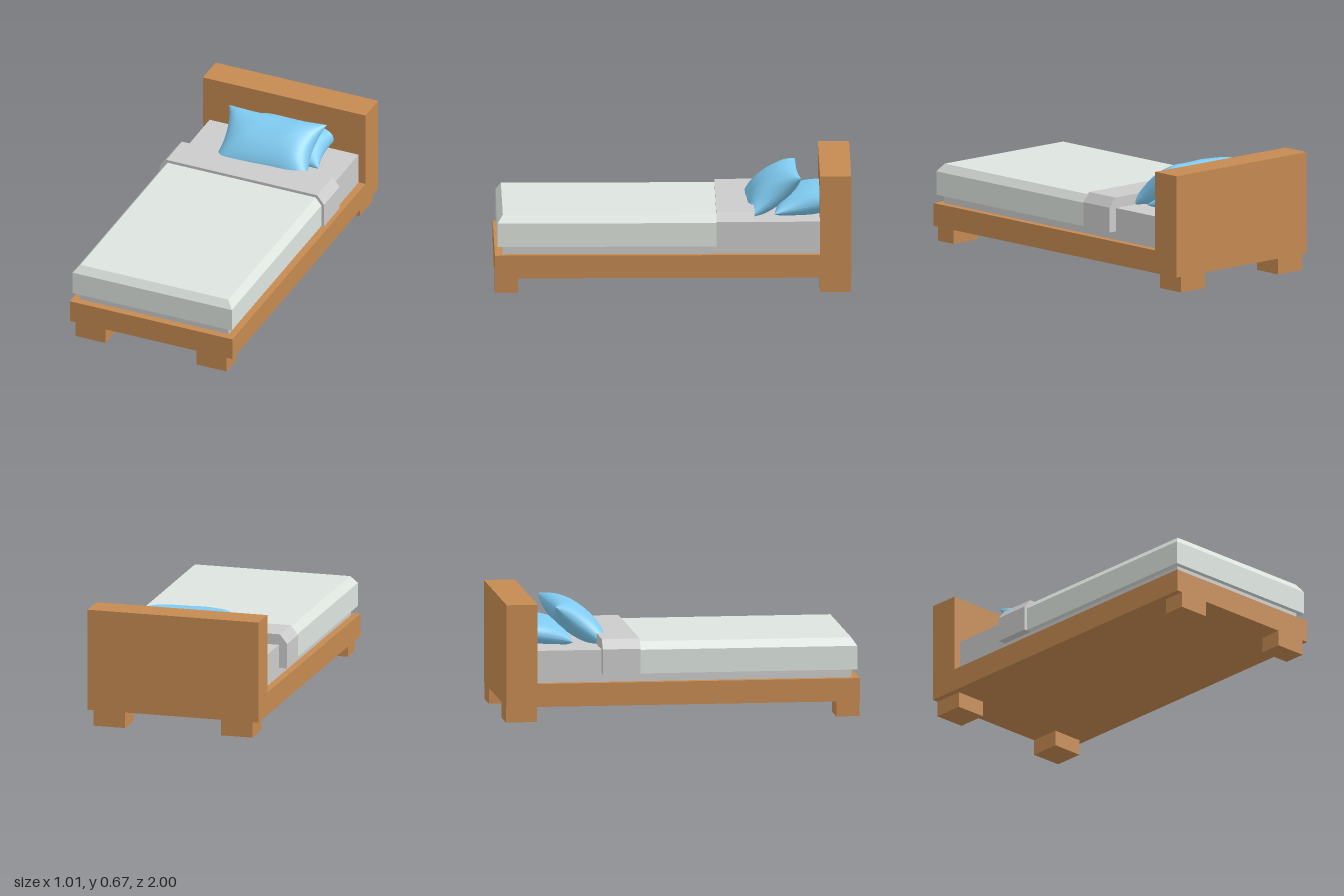
import * as THREE from 'three';

const material = (color, extra = {}) => new THREE.MeshStandardMaterial({ color, ...extra });

// Box given by its min and max along each axis
function block(name, mat, [x0, x1], [y0, y1], [z0, z1]) {
  const mesh = new THREE.Mesh(new THREE.BoxGeometry(x1 - x0, y1 - y0, z1 - z0), mat);
  mesh.position.set((x0 + x1) / 2, (y0 + y1) / 2, (z0 + z1) / 2);
  mesh.name = name;
  return mesh;
}

// Block whose upper edges are bevelled on both sides and, if wanted, at the front
function bevelledBlock(name, mat, halfWidth, [y0, yBevel, y1], [z0, z1], sideInset, frontInset) {
  const geo = new THREE.BoxGeometry(2, 2, 2, 1, 2, 1);
  const p = geo.attributes.position;
  for (let i = 0; i < p.count; i++) {
    const top = p.getY(i) > 0.5;
    const y = [y0, yBevel, y1][Math.round(p.getY(i)) + 1];
    const x = p.getX(i) * (halfWidth - (top ? sideInset : 0));
    const z = p.getZ(i) < 0 ? z0 : z1 - (top ? frontInset : 0);
    p.setXYZ(i, x, y, z);
  }
  const flat = geo.toNonIndexed();
  flat.computeVertexNormals();
  const mesh = new THREE.Mesh(flat, mat);
  mesh.name = name;
  return mesh;
}

// One half of a pillow: a puffed sheet with pinched sides and pointed corners
function pillowHalf(side, a, b, height) {
  const geo = new THREE.PlaneGeometry(2, 2, 40, 28);
  geo.rotateX(-side * Math.PI / 2);
  const p = geo.attributes.position;
  for (let i = 0; i < p.count; i++) {
    const u = Math.sin(p.getX(i) * Math.PI / 2);
    const v = Math.sin(p.getZ(i) * Math.PI / 2);
    const puff = Math.sqrt(Math.max(0, (1 - u ** 4) * (1 - v * v)));
    // soft creases that fade out toward the middle
    const crease = 1 + 0.06 * Math.sin(9 * u + 4 * v) * (u * u + v * v) / 2;
    p.setXYZ(i,
      a * u * (1 - 0.13 * (1 - v * v)),
      side * height * puff * crease,
      b * v * (1 - 0.07 * (1 - u * u)));
  }
  geo.computeVertexNormals();
  return geo;
}

function pillow(name, mat, position, tilt, turn, height) {
  const group = new THREE.Group();
  group.name = name;
  for (const side of [1, -1]) {
    const half = new THREE.Mesh(pillowHalf(side, 0.295, 0.185, side > 0 ? height : height * 0.8), mat);
    half.name = side > 0 ? 'pillowTop' : 'pillowUnderside';
    group.add(half);
  }
  group.position.set(...position);
  group.rotation.set(tilt, turn, 0, 'YXZ');
  return group;
}

export function createModel() {
  const bed = new THREE.Group();
  bed.name = 'bed';
  const wood = material(0xc58a51);
  const linen = material(0xcccccc);
  const cover = material(0xdde4de);
  const blue = material(0x7fcaf0, { side: THREE.DoubleSide });

  // Wooden frame
  bed.add(block('bedBase', wood, [-0.5, 0.5], [0.09, 0.22], [-1, 1]));
  bed.add(block('headboard', wood, [-0.5, 0.5], [0.22, 0.67], [-1, -0.825]));
  for (const s of [-1, 1]) {
    const x = s > 0 ? [0.28, 0.465] : [-0.465, -0.28];
    bed.add(block('frontLeg', wood, x, [0, 0.09], [0.87, 1]));
    bed.add(block('backLeg', wood, x, [0, 0.09], [-1, -0.825]));
  }

  // Mattress, blanket and its turned-back fold
  bed.add(block('mattress', linen, [-0.458, 0.458], [0.22, 0.402], [-0.825, 0.957]));
  bed.add(bevelledBlock('blanket', cover, 0.49, [0.268, 0.402, 0.446], [-0.25, 0.985], 0.035, 0.03));
  bed.add(bevelledBlock('blanketFold', linen, 0.506, [0.268, 0.41, 0.463], [-0.457, -0.243], 0.042, 0));

  // Pillows: one lying against the headboard, one leaning on it
  bed.add(pillow('backPillow', blue, [0.04, 0.45, -0.765], 0.17, -0.04, 0.085));
  bed.add(pillow('frontPillow', blue, [0.023, 0.507, -0.56], 0.65, 0.05, 0.092));
  return bed;
}
